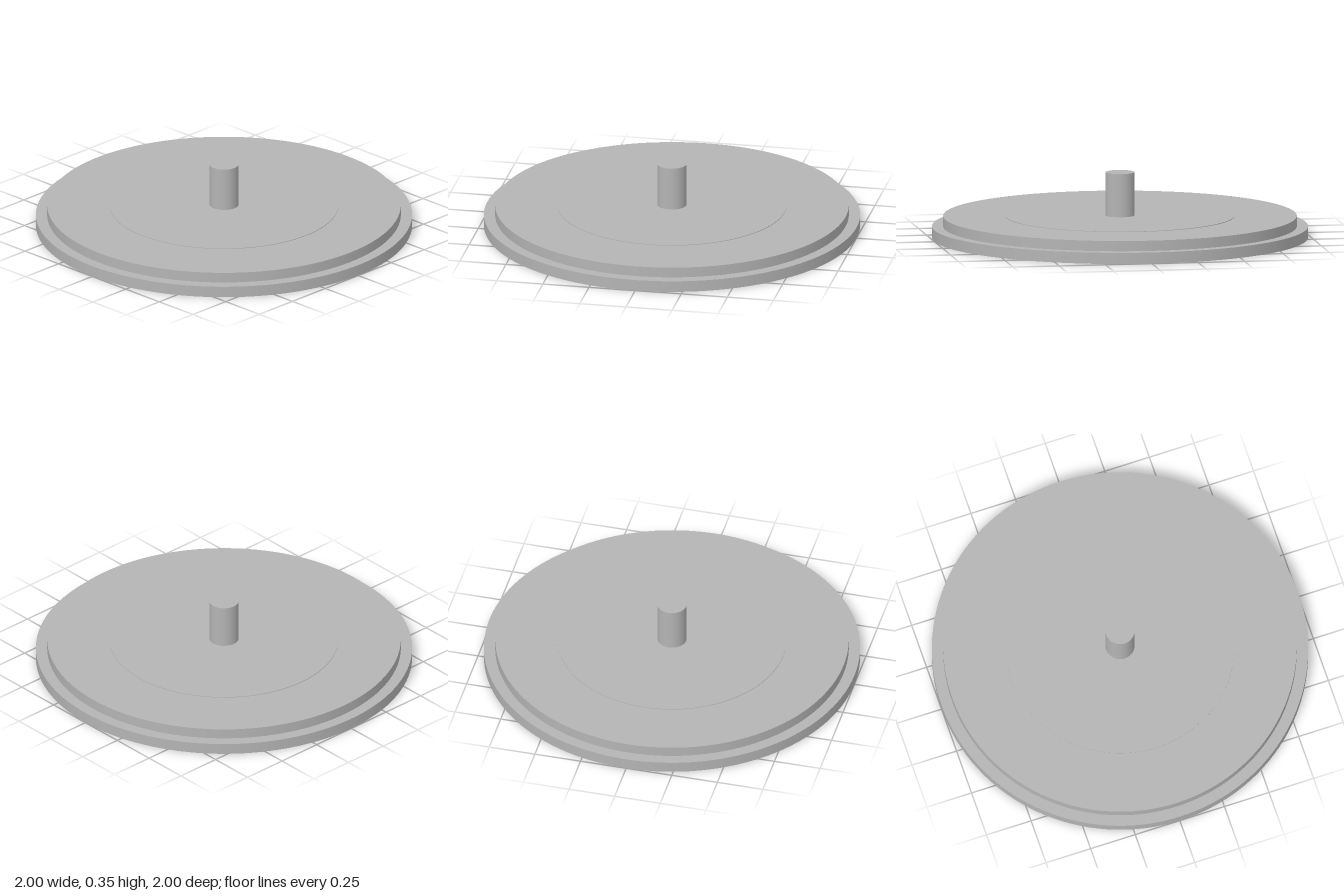
import * as THREE from 'three';

export function createModel() {
  const model = new THREE.Group();
  const grey = new THREE.MeshStandardMaterial({ color: 0xb4b4b4 });
  grey.name = 'light grey';

  // Upright round part between two heights
  function disc(name, radius, bottom, top, segments) {
    const geometry = new THREE.CylinderGeometry(radius, radius, top - bottom, segments);
    const mesh = new THREE.Mesh(geometry, grey);
    mesh.name = name;
    mesh.position.y = (bottom + top) / 2;
    model.add(mesh);
  }

  disc('basePlate', 1, 0, 0.06, 128);
  disc('upperPlate', 0.94, 0.06, 0.115, 128);
  // Barely raised pad around the spindle
  disc('centrePad', 0.61, 0.115, 0.118, 96);
  disc('spindle', 0.078, 0.118, 0.35, 64);

  return model;
}
